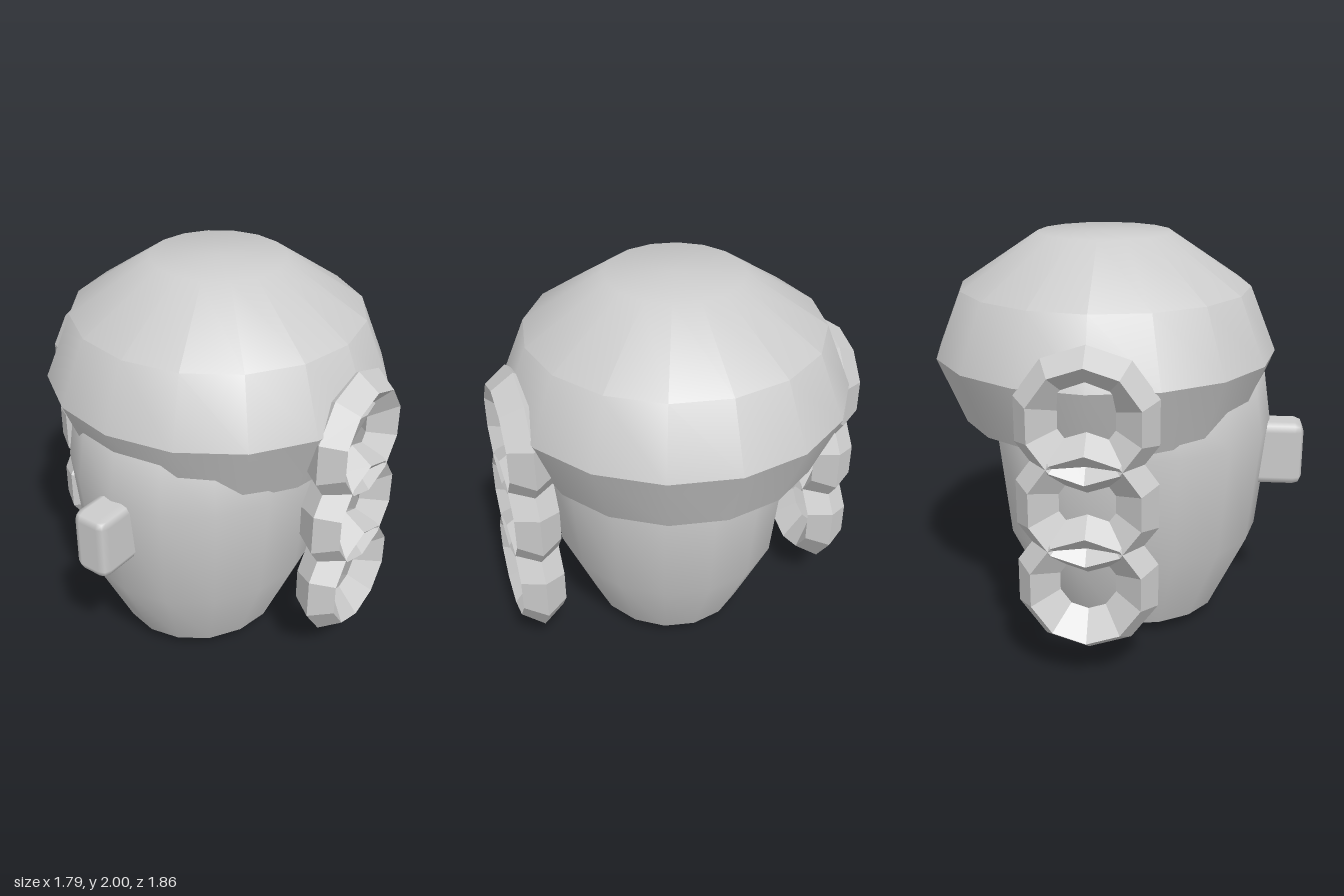
import * as THREE from 'three';
import { toCreasedNormals } from 'three/addons/utils/BufferGeometryUtils.js';
import { RoundedBoxGeometry } from 'three/addons/geometries/RoundedBoxGeometry.js';

// Lathe from [radius, height] pairs listed from bottom to top
function lathe(profile, sides, start = 0) {
  return new THREE.LatheGeometry(profile.map(([r, y]) => new THREE.Vector2(r, y)), sides, start);
}

export function createModel() {
  const model = new THREE.Group();
  const grey = new THREE.MeshStandardMaterial({ color: 0xcccccc });
  grey.name = 'light grey';

  function add(name, geometry, x, y, z, parent = model) {
    const mesh = new THREE.Mesh(geometry, grey);
    mesh.name = name;
    mesh.position.set(x, y, z);
    parent.add(mesh);
    return mesh;
  }

  // Tapering head, slightly narrower across than deep
  const head = lathe([[0, 0], [0.455, 0.07], [0.65, 0.48], [0.71, 1.04],
    [0.67, 1.31], [0.5, 1.55], [0, 1.68]], 16);
  head.scale(0.905, 1, 1);
  add('head', toCreasedNormals(head, 0.66), 0, 0, 0.05);

  // Hair cap with a sharp brim line and a flat underside
  const cap = lathe([[0, 1.08], [0.715, 1.09], [0.85, 1.42], [0.72, 1.74],
    [0.33, 2], [0, 2]], 16);
  add('hairCap', toCreasedNormals(cap, 0.66), 0, 0, -0.085);

  // Nose: bevelled block set into the face
  add('nose', new RoundedBoxGeometry(0.19, 0.33, 0.36, 1, 0.045), 0, 0.893, 0.747);

  // Braids: three faceted rings hanging on each side
  const ring = lathe([[0.136, 0], [0.264, -0.11], [0.34, 0], [0.264, 0.11], [0.136, 0]],
    10, Math.PI / 2).rotateZ(Math.PI / 2).toNonIndexed();
  ring.computeVertexNormals();
  for (const side of [1, -1]) {
    const braid = new THREE.Group();
    braid.name = side > 0 ? 'leftBraid' : 'rightBraid';
    for (let i = 0; i < 3; i++) add('braidRing', ring, side * 0.785, 1.285 - i * 0.393, -0.085, braid);
    model.add(braid);
  }
  return model;
}
